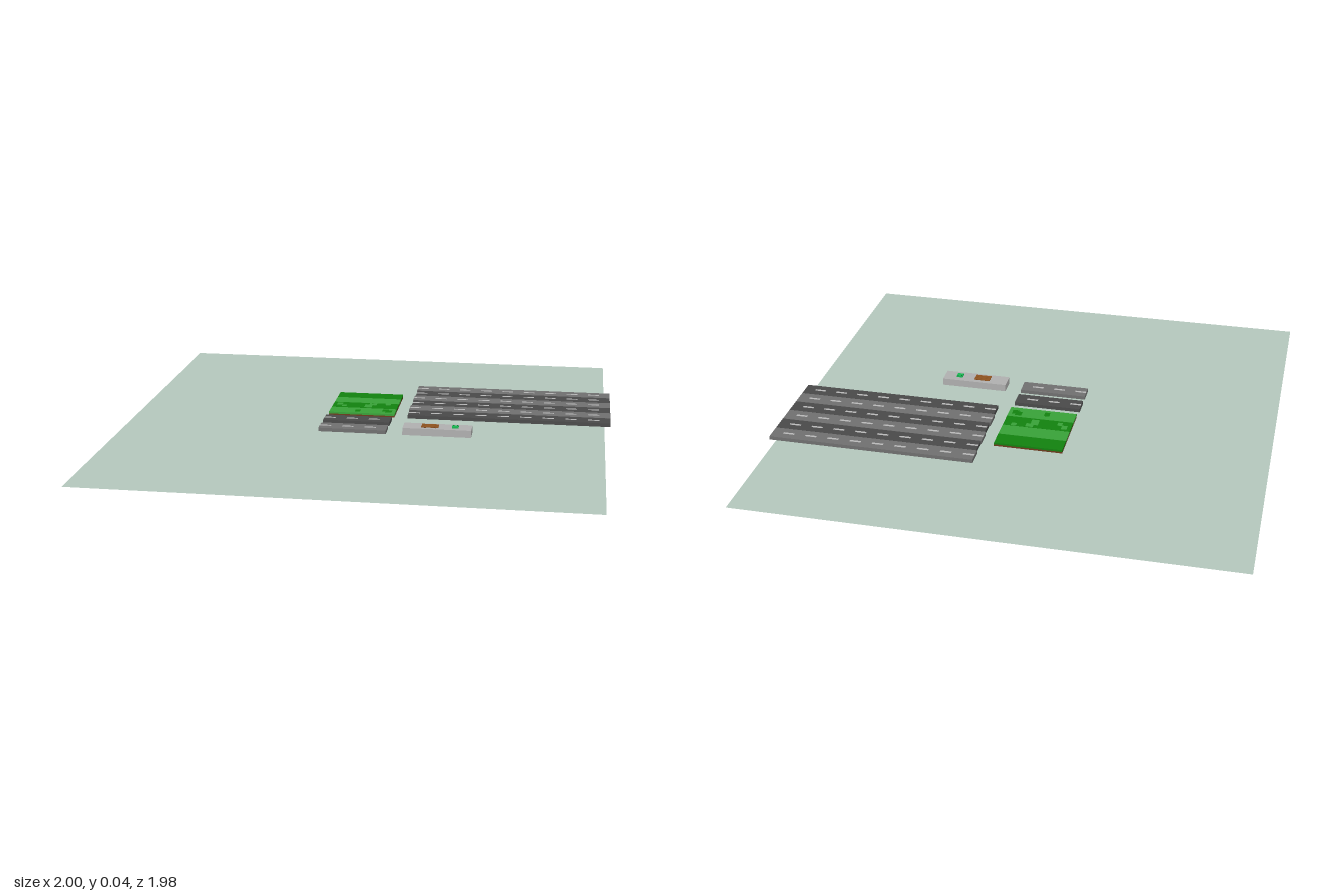
import * as THREE from 'three';

const mat = (color, extra = {}) => {
  const m = new THREE.MeshStandardMaterial({ color, ...extra });
  return m;
};
const DARK_ROAD = mat(0x4a4a4a), LIGHT_ROAD = mat(0x707070), DASH = mat(0xbababa);
const DARK_GRASS = mat(0x12820f), LIGHT_GRASS = mat(0x38a238), SOIL = mat(0x6b3a1c);
const STONE = mat(0xb0b0b0), WOOD = mat(0x8f531f), BARK = mat(0x6a3a12), GREEN = mat(0x14b850), BLACK = mat(0x222222);

const BASE = 0.004; // underside of the tiles
const TOP = 0.019; // upper face of roads and grass
const DEPTH = 0.0745;

export function createModel() {
  const model = new THREE.Group();

  // box given by its extents
  function box(name, m, x0, x1, y0, y1, z0, z1, parent = model) {
    const mesh = new THREE.Mesh(new THREE.BoxGeometry(x1 - x0, y1 - y0, z1 - z0), m);
    mesh.position.set((x0 + x1) / 2, (y0 + y1) / 2, (z0 + z1) / 2);
    mesh.name = name;
    parent.add(mesh);
    return mesh;
  }

  // ground sheet
  const ground = new THREE.Mesh(
    new THREE.PlaneGeometry(1.975, 1.975).rotateX(-Math.PI / 2),
    mat(0xb4c8bd, { side: THREE.DoubleSide })
  );
  ground.position.x = -0.0125;
  ground.name = 'ground';
  model.add(ground);

  // road strip with a dashed centre line
  function road(m, x0, x1, z0, dashes) {
    const g = new THREE.Group();
    g.name = 'roadLane';
    box('asphalt', m, x0, x1, BASE, TOP, z0, z0 + DEPTH, g);
    const pitch = (x1 - x0) / dashes, zc = z0 + DEPTH / 2;
    for (let i = 0; i < dashes; i++) {
      const x = x0 + i * pitch + 0.001;
      box('laneDash', DASH, x, x + pitch / 2, TOP - 0.002, TOP + 0.0008, zc - 0.005, zc + 0.005, g);
    }
    model.add(g);
  }

  // six-lane road, then two short samples
  for (let i = 0; i < 6; i++)
    road(i % 2 ? DARK_ROAD : LIGHT_ROAD, i % 2 ? 0.154 : 0.15, 1, -0.482 + i * 0.0755, 9);
  road(DARK_ROAD, -0.187, 0.092, 0.012, 3);
  road(LIGHT_ROAD, -0.187, 0.092, 0.125, 3);

  // grass strips on soil; patches are [x0, x1, z0, z1] from the strip's corner
  const strips = [
    [DARK_GRASS, LIGHT_GRASS, []],
    [LIGHT_GRASS, DARK_GRASS, []],
    [DARK_GRASS, LIGHT_GRASS, [
      [0.016, 0.04, 0.012, 0.042], [0.04, 0.06, 0.038, 0.062], [0.138, 0.17, 0.022, 0.064],
      [0.155, 0.187, 0.004, 0.03], [0.225, 0.247, 0.002, 0.022]]],
    [LIGHT_GRASS, DARK_GRASS, [
      [0.108, 0.13, 0.028, 0.058], [0.223, 0.25, 0.012, 0.042], [0.238, 0.265, 0.022, 0.052]]]
  ];
  strips.forEach(([m, patchMat, patches], i) => {
    const g = new THREE.Group(), x = -0.183, z = -0.333 + i * 0.0757;
    g.name = 'grassStrip';
    box('soil', SOIL, x, x + 0.28, BASE, 0.011, z, z + DEPTH, g);
    box('turf', m, x, x + 0.28, 0.011, TOP, z, z + DEPTH, g);
    patches.forEach(([a, b, c, d], k) =>
      box('grassPatch', patchMat, x + a, x + b, TOP - 0.002, TOP + 0.0006 + k * 0.0001, z + c, z + d, g));
    model.add(g);
  });

  // stone pavement block
  const deck = 0.034;
  box('pavement', STONE, 0.16, 0.44, BASE, deck, 0.125, 0.2);

  // wooden bench slats on two bearers
  const bench = new THREE.Group();
  bench.name = 'bench';
  for (const x of [0.243, 0.285]) box('bearer', BARK, x, x + 0.012, deck - 0.002, deck + 0.002, 0.143, 0.185, bench);
  for (let i = 0; i < 3; i++) {
    const z = 0.143 + i * 0.0145;
    box('slat', WOOD, 0.235, 0.305, deck + 0.001, deck + 0.004, z, z + 0.0125, bench);
  }
  model.add(bench);

  // little green hopper
  const hopper = new THREE.Group();
  hopper.name = 'hopper';
  box('body', GREEN, 0.36, 0.386, deck, deck + 0.006, 0.152, 0.178, hopper);
  for (const x of [0.363, 0.379]) box('eye', BLACK, x, x + 0.004, deck + 0.004, deck + 0.0075, 0.153, 0.157, hopper);
  model.add(hopper);

  return model;
}
